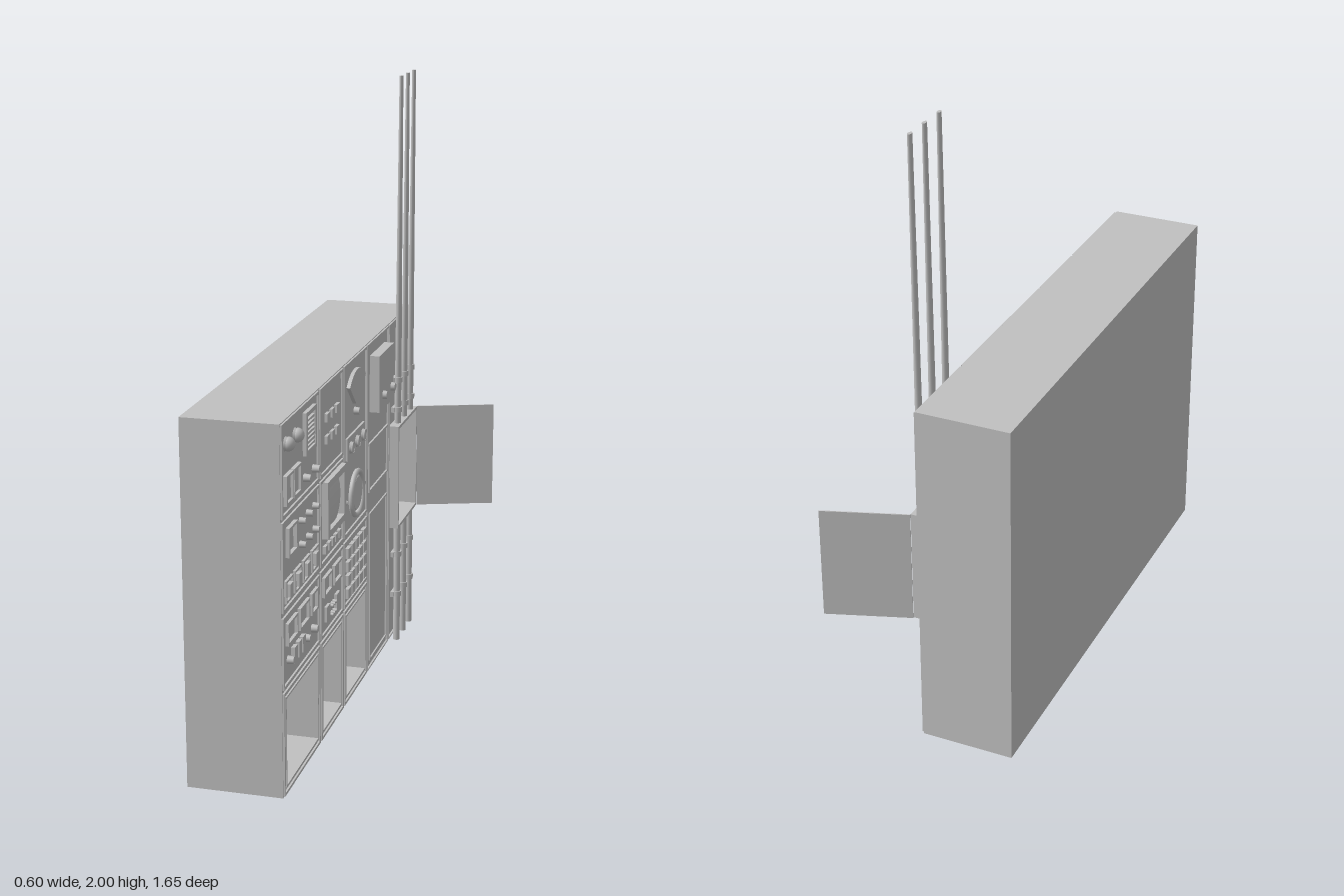
import * as THREE from 'three';

// Built in panel space: u runs along the wall (-z), v is up, d is out of the wall (+x).
export function createModel() {
  const model = new THREE.Group();
  model.name = 'controlPanelWall';
  const panel = new THREE.Group();
  panel.name = 'panel';
  panel.rotation.y = Math.PI / 2;
  model.add(panel);
  const grey = new THREE.MeshStandardMaterial({ color: 0xc0c0c0 });
  grey.name = 'grey';

  const add = (name, geo, u = 0, v = 0, d = 0) => {
    const m = new THREE.Mesh(geo, grey);
    m.name = name;
    m.position.set(u, v, d);
    panel.add(m);
    return m;
  };
  const rectPath = (p, [u0, v0, u1, v1]) => {
    p.moveTo(u0, v0).lineTo(u1, v0).lineTo(u1, v1).lineTo(u0, v1).closePath();
    return p;
  };
  const plate = (name, [u0, v0, u1, v1], d0, d1) =>
    add(name, new THREE.BoxGeometry(u1 - u0, v1 - v0, d1 - d0), (u0 + u1) / 2, (v0 + v1) / 2, (d0 + d1) / 2);
  const holed = (name, rect, holes, d0, d1) => {
    const s = rectPath(new THREE.Shape(), rect);
    holes.forEach(h => s.holes.push(rectPath(new THREE.Path(), h)));
    return add(name, new THREE.ExtrudeGeometry(s, { depth: d1 - d0, bevelEnabled: false }), 0, 0, d0);
  };
  const frame = (name, [a, b, c, d], w, d0, d1) =>
    holed(name, [a, b, c, d], [[a + w, b + w, c - w, d - w]], d0, d1);
  const knob = (name, u, v, r, h, d0 = 0) => {
    const g = new THREE.CylinderGeometry(r * 0.85, r, h, 16).rotateX(Math.PI / 2);
    return add(name, g, u, v, d0 + h / 2);
  };
  const dome = (name, u, v, r) => {
    const g = new THREE.SphereGeometry(r, 16, 6, 0, Math.PI * 2, 0, Math.PI / 2).rotateX(Math.PI / 2);
    add(name, g, u, v, 0.008);
    knob(name + 'Base', u, v, r, 0.008);
  };
  const dial = (name, u, v, r, h, d0 = 0) => {
    knob(name, u, v, r, h, d0);
    add(name + 'Rim', new THREE.TorusGeometry(r * 0.9, r * 0.08, 6, 32), u, v, d0 + h);
  };

  // Cabinet with three open bays and a recessed compartment
  const bays = [[-0.796, 0.048, -0.461, 0.324], [-0.4, 0.048, -0.185, 0.324], [-0.125, 0.048, 0.112, 0.324]];
  const recess = [0.464, 0.445, 0.721, 0.795];
  holed('cabinet', [-0.825, 0.017, 0.75, 1.17], [...bays, recess], -0.25, 0);
  plate('cabinetBack', [-0.825, 0.017, 0.75, 1.17], -0.3, -0.25);
  plate('recessBack', recess, -0.25, -0.1);

  // Raised borders around every panel
  const columns = [[-0.822, -0.438], [-0.424, -0.162], [-0.149, 0.138]];
  const rows = [[0.022, 0.35], [0.361, 0.584], [0.6, 0.875], [0.886, 1.167]];
  columns.forEach(([u0, u1], c) => rows.forEach(([v0, v1], r) => {
    if (c === 2 && r === 3) return;
    frame('panelBorder', [u0, v0, u1, c === 2 && r === 2 ? 1.167 : v1], 0.009, 0, 0.006);
  }));
  frame('panelBorder', [0.143, 0.022, 0.43, 1.167], 0.006, 0, 0.006);
  frame('panelBorder', [0.44, 0.022, 0.748, 1.167], 0.006, 0, 0.006);
  bays.forEach(([a, b, c, d]) => frame('bayRim', [a - 0.006, b - 0.006, c + 0.006, d + 0.006], 0.006, 0, 0.005));

  // First column, top: domes, meters, grille
  for (const u of [-0.77, -0.677]) dome('domeLamp', u, 1.098, 0.022);
  for (const u of [-0.76, -0.682]) {
    frame('meterRim', [u - 0.036, 0.918, u + 0.036, 1.008], 0.008, 0, 0.012);
    plate('meterFace', [u - 0.03, 0.924, u + 0.03, 1.002], 0, 0.004);
  }
  frame('grilleRim', [-0.594, 1.008, -0.483, 1.14], 0.014, 0, 0.012);
  for (let i = 0; i < 7; i++) plate('grilleSlat', [-0.582, 1.026 + i * 0.0135, -0.495, 1.033 + i * 0.0135], 0, 0.009);
  for (const u of [-0.583, -0.488]) knob('smallKnob', u, 0.939, 0.013, 0.022);

  // First column, middle: gauge, knob bank and rockers
  frame('gaugeRim', [-0.775, 0.755, -0.69, 0.845], 0.008, 0, 0.012);
  for (const u of [-0.631, -0.557, -0.488])
    for (const v of [0.822, 0.748]) knob('bankKnob', u, v, 0.011, 0.02);
  for (const u of [-0.76, -0.67, -0.58, -0.49]) {
    frame('rockerRim', [u - 0.035, 0.62, u + 0.035, 0.69], 0.007, 0, 0.008);
    plate('rocker', [u - 0.015, 0.635, u + 0.015, 0.675], 0, 0.014);
  }

  // First column, lower: displays, sliders and knobs
  for (const [a, b] of [[-0.785, -0.685], [-0.66, -0.56], [-0.535, -0.465]])
    frame('displayRim', [a, 0.485, b, 0.555], 0.008, 0, 0.01);
  for (const u of [-0.764, -0.589, -0.509]) knob('tunerKnob', u, 0.435, 0.013, 0.02);
  for (const u of [-0.715, -0.67, -0.63]) plate('sliderSwitch', [u - 0.014, 0.41, u + 0.014, 0.46], 0, 0.012);

  // Second column: indicators, screen, buttons, switches
  for (const u of [-0.345, -0.29, -0.235])
    for (const v of [1.06, 0.99]) plate('indicator', [u - 0.016, v - 0.013, u + 0.016, v + 0.013], 0, 0.01);
  frame('screenBezel', [-0.398, 0.684, -0.186, 0.867], 0.022, 0, 0.022);
  const glass = new THREE.SphereGeometry(1, 20, 8, 0, Math.PI * 2, 0, Math.PI / 2).rotateX(Math.PI / 2).scale(0.1, 0.085, 0.012);
  add('screenGlass', glass, -0.292, 0.775, 0.002);
  for (let i = 0; i < 5; i++) plate('screenButton', [-0.385 + i * 0.04, 0.63, -0.36 + i * 0.04, 0.655], 0, 0.01);
  for (const u of [-0.35, -0.235]) {
    frame('readoutRim', [u - 0.045, 0.49, u + 0.045, 0.555], 0.008, 0, 0.01);
    plate('leverSwitch', [u - 0.02, 0.4, u + 0.02, 0.45], 0, 0.009);
  }
  for (const u of [-0.312, -0.292, -0.272])
    for (const v of [0.435, 0.405]) knob('pinKnob', u, v, 0.006, 0.014);

  // Third column: fan gauge, three dials, large dial, keypad
  const fan = new THREE.Shape();
  fan.moveTo(-0.022, 0.03).lineTo(-0.098, 0.1);
  fan.absarc(0, 0, 0.14, 2.346, 0.796, true);
  fan.lineTo(0.022, 0.03).closePath();
  add('fanGauge', new THREE.ExtrudeGeometry(fan, { depth: 0.012, bevelEnabled: false, curveSegments: 16 }), -0.005, 0.987, 0);
  knob('fanPivot', -0.005, 0.987, 0.013, 0.018);
  plate('dialStrip', [-0.117, 0.849, 0.1, 0.923], 0, 0.007);
  for (const u of [-0.08, -0.005, 0.07]) dial('smallDial', u, 0.886, 0.02, 0.01, 0.007);
  add('largeDialRing', new THREE.TorusGeometry(0.072, 0.009, 8, 40), -0.005, 0.711, 0.008);
  knob('largeDial', -0.005, 0.711, 0.064, 0.012);
  for (const u of [-0.117, 0.105]) knob('dialScrew', u, 0.711, 0.008, 0.008);
  for (let i = 0; i < 5; i++)
    for (let j = 0; j < 4; j++)
      plate('key', [-0.122 + i * 0.048, 0.385 + j * 0.046, -0.086 + i * 0.048, 0.419 + j * 0.046], 0, 0.012);

  // Fourth column: raised control box, cover plate, tall door
  plate('controlBox', [0.19, 0.928, 0.387, 1.12], 0, 0.033);
  for (const u of [0.244, 0.355]) knob('boxKnob', u, 0.976, 0.015, 0.014, 0.033);
  frame('coverRim', [0.167, 0.655, 0.42, 0.824], 0.007, 0, 0.006);
  frame('tallDoorRim', [0.18, 0.048, 0.414, 0.578], 0.006, 0, 0.005);

  // Compartment housing and its open door
  holed('compartmentRim', [0.455, 0.435, 0.73, 0.805], [recess], 0, 0.035);
  const du = 0.09, dd = 0.26;
  const door = add('compartmentDoor', new THREE.BoxGeometry(Math.hypot(du, dd), 0.37, 0.004), 0.733 + du / 2, 0.62, 0.035 + dd / 2);
  door.rotation.y = -Math.atan2(dd, du);

  // Conduits stop at the housing; the upper runs thin out towards the top
  for (const u of [0.509, 0.6, 0.69]) {
    const upper = new THREE.CylinderGeometry(0.012, 0.012, 1.2, 12, 1);
    const p = upper.attributes.position;
    for (let i = 0; i < p.count; i++) if (p.getY(i) > 0) p.setZ(i, p.getZ(i) * 0.5 + 0.006);
    upper.computeVertexNormals();
    add('upperConduit', upper, u, 1.4, 0.018);
    add('lowerConduit', new THREE.CylinderGeometry(0.012, 0.012, 0.44, 12), u, 0.22, 0.018);
    for (const v of [0.96, 0.854, 0.324, 0.175]) {
      add('conduitClamp', new THREE.CylinderGeometry(0.016, 0.016, 0.018, 12), u, v, 0.018);
      plate('clampFoot', [u - 0.022, v - 0.009, u + 0.022, v + 0.009], 0, 0.012);
    }
  }
  return model;
}
